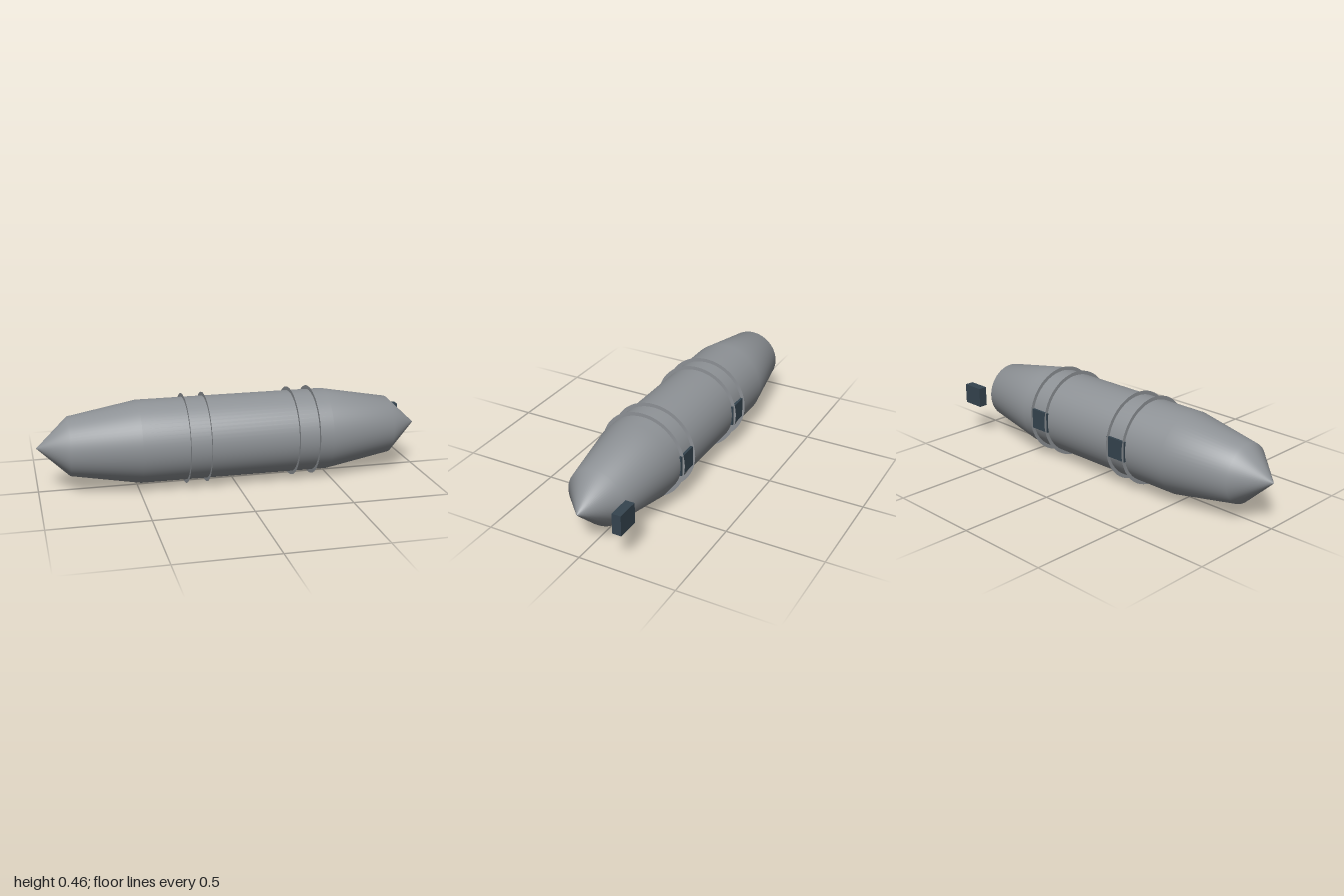
import * as THREE from 'three';

const CY = 0.232;   // height of the long axis
const R = 0.212;    // hull radius

const hullGrey = new THREE.MeshStandardMaterial({ color: 0x8e9296 });
hullGrey.name = 'hull grey';
const ringGrey = new THREE.MeshStandardMaterial({ color: 0x8e9296, side: THREE.DoubleSide });
ringGrey.name = 'ring grey';
const slate = new THREE.MeshStandardMaterial({ color: 0x35444f });
slate.name = 'dark slate';

export function createModel() {
  const model = new THREE.Group();
  model.name = 'capsule';

  function add(name, geometry, material, x = 0, z = 0) {
    const mesh = new THREE.Mesh(geometry, material);
    mesh.name = name;
    mesh.position.set(x, CY, z);
    model.add(mesh);
  }

  // Closed hull: straight barrel, gentle taper and pointed cone at both ends
  const half = [[R, 0.49], [0.15, 0.84], [0, 1]];
  const profile = [
    ...half.map(([r, d]) => new THREE.Vector2(r, -d)).reverse(),
    ...half.map(([r, d]) => new THREE.Vector2(r, d)),
  ];
  add('hull', new THREE.LatheGeometry(profile, 64).rotateZ(Math.PI / 2), hullGrey);

  // Two pairs of flat hoops around the barrel
  for (const x of [-0.255, -0.148, 0.305, 0.412]) {
    add('hoop', new THREE.RingGeometry(R - 0.002, 0.231, 64).rotateY(Math.PI / 2), ringGrey, x);
  }

  // Clamp blocks along the back: one per hoop pair, one beside the tip
  for (const x of [-0.2, 0.36, 0.918]) {
    add('clampBlock', new THREE.BoxGeometry(0.12, 0.106, 0.047), slate, x, -0.194);
  }
  return model;
}
